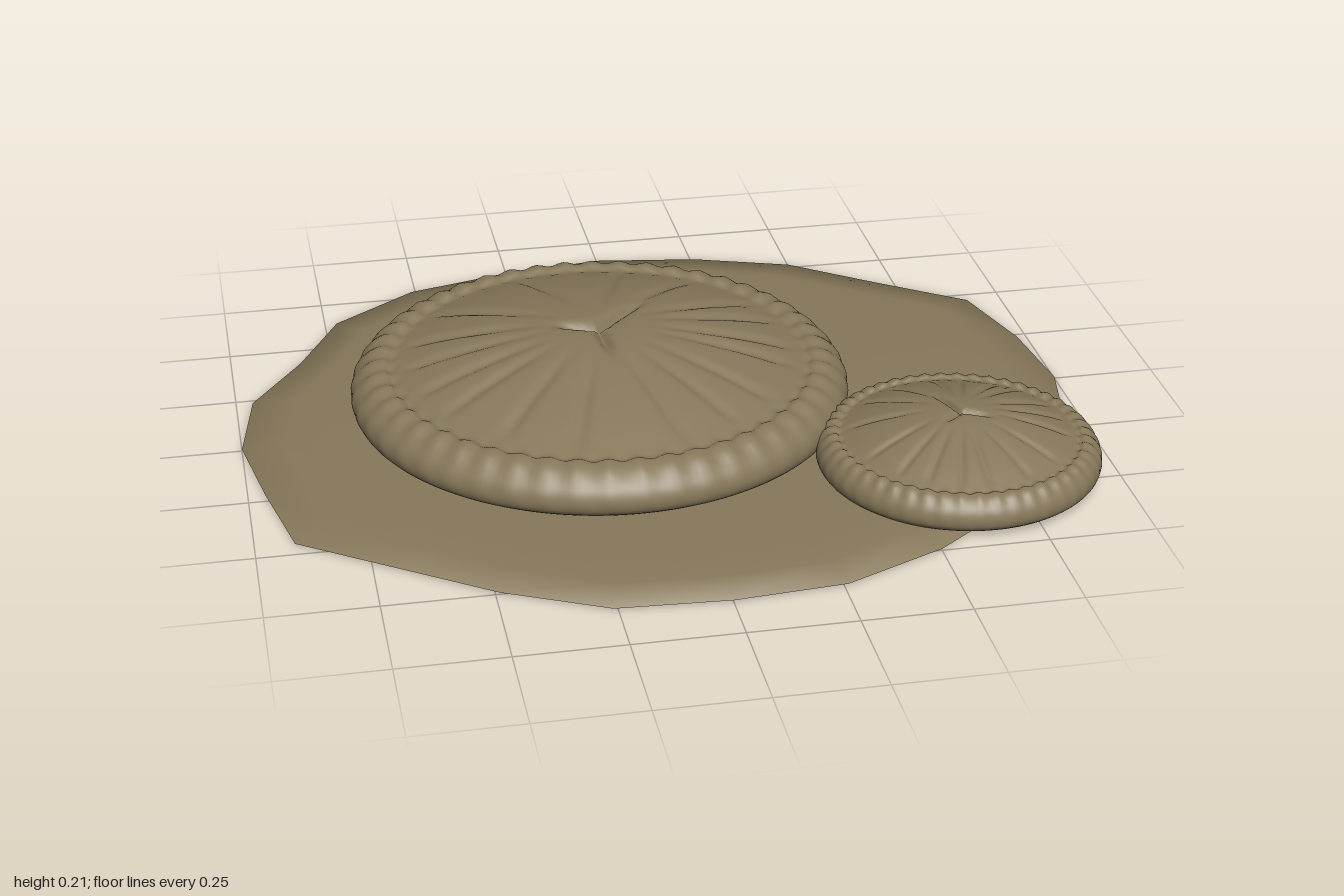
import * as THREE from 'three';
import { mergeVertices } from 'three/addons/utils/BufferGeometryUtils.js';

const DEG = Math.PI / 180;
const earth = new THREE.MeshStandardMaterial({ color: 0x87785a });
earth.name = 'earthBrown';

// Weld the seams and smooth the normals
function smooth(geometry) {
  geometry.deleteAttribute('uv');
  geometry.deleteAttribute('normal');
  const g = mergeVertices(geometry, 1e-5);
  g.computeVertexNormals();
  return g;
}

// Irregular 24-sided plate: outline [x, z], swept through scaled rings
function plateGeometry() {
  const outline = [
    [0, -0.88], [0.26, -0.84], [0.5, -0.76], [0.7, -0.61], [0.91, -0.46], [0.975, -0.23],
    [1, 0], [0.95, 0.25], [0.87, 0.42], [0.69, 0.61], [0.5, 0.75], [0.26, 0.855],
    [0, 0.875], [-0.26, 0.86], [-0.49, 0.75], [-0.7, 0.605], [-0.91, 0.46], [-0.96, 0.23],
    [-1, 0], [-0.96, -0.23], [-0.83, -0.42], [-0.72, -0.63], [-0.51, -0.78], [-0.26, -0.845],
  ];
  // [scale, height] from the underside, round the rim, to the top
  const rings = [[0, 0], [0.86, 0], [0.92, 0], [1, 0.004], [0.9, 0.013], [0.8, 0.019], [0, 0.024]];
  const n = outline.length, pos = [], index = [];
  for (const [s, y] of rings) for (const [x, z] of outline) pos.push(x * s, y, z * s);
  for (let r = 0; r < rings.length - 1; r++) {
    for (let i = 0; i < n; i++) {
      const a = r * n + i, b = r * n + (i + 1) % n, c = a + n, d = b + n;
      if (r > 0) index.push(a, b, c);
      if (r === 0) index.push(b, d, c);
      else if (r < rings.length - 2) index.push(b, d, c);
    }
  }
  const g = new THREE.BufferGeometry();
  g.setAttribute('position', new THREE.Float32BufferAttribute(pos, 3));
  // The outline runs clockwise from above, so flip each triangle
  for (let i = 0; i < index.length; i += 3) [index[i + 1], index[i + 2]] = [index[i + 2], index[i + 1]];
  g.setIndex(index);
  const signed = volume(g);
  if (signed < 0) for (let i = 0; i < index.length; i += 3) [index[i + 1], index[i + 2]] = [index[i + 2], index[i + 1]];
  g.setIndex(index);
  return smooth(g);
}

// Signed volume, positive when the faces point outwards
function volume(g) {
  const p = g.attributes.position, ix = g.index.array;
  const [a, b, c] = [0, 1, 2].map(() => new THREE.Vector3());
  let v = 0;
  for (let i = 0; i < ix.length; i += 3) {
    a.fromBufferAttribute(p, ix[i]);
    b.fromBufferAttribute(p, ix[i + 1]);
    c.fromBufferAttribute(p, ix[i + 2]);
    v += a.dot(b.cross(c));
  }
  return v;
}

// Domed round with a crimped rim, radial grooves and three deep creases
function moundGeometry() {
  const side = new THREE.SplineCurve([
    [0.57, 0.02], [0.594, 0.038], [0.6, 0.065], [0.588, 0.095], [0.555, 0.124], [0.522, 0.133],
    [0.5, 0.126], [0.47, 0.134], [0.4, 0.157], [0.3, 0.182], [0.2, 0.2], [0.1, 0.211], [0, 0.215],
  ].map(([r, y]) => new THREE.Vector2(r, y))).getPoints(48);
  side.forEach((p) => { p.x = Math.max(p.x, 0); });
  const g = new THREE.LatheGeometry([new THREE.Vector2(0, 0.02), ...side], 240);

  const grooves = [75, 52, 27, 13, -5, -17, -40, -57, -75, -106, -128, -150, -165, 178, 162, 140, 105];
  const creases = [[48, 0.26], [160, 0.13], [-87, 0.16]];
  const p = g.attributes.position;
  // Distance across a ray at the given angle, or infinite behind it
  const across = (a, r, deg) => {
    const d = a - deg * DEG;
    return Math.cos(d) > 0 ? Math.abs(r * Math.sin(d)) : Infinity;
  };
  const step = THREE.MathUtils.smoothstep;
  for (let i = 0; i < p.count; i++) {
    let x = p.getX(i), y = p.getY(i), z = p.getZ(i);
    const r = Math.hypot(x, z), a = Math.atan2(-z, x);
    if (y > 0.1) {
      const fade = step(r, 0.1, 0.3) * (1 - step(r, 0.42, 0.49));
      let dip = 0;
      for (const deg of grooves) dip = Math.max(dip, 0.009 * fade * Math.exp(-((across(a, r, deg) / 0.016) ** 2)));
      for (const [deg, len] of creases) {
        const depth = 0.022 * (1 - step(r, len * 0.3, len));
        dip = Math.max(dip, depth * Math.exp(-((across(a, r, deg) / 0.014) ** 2)));
      }
      y -= dip;
      // Crimps along the top of the rim
      y += 0.004 * Math.cos(48 * a) * step(r, 0.48, 0.51) * (1 - step(r, 0.55, 0.59));
    }
    // Shallow scallops round the side
    const k = 1 + 0.003 * Math.cos(48 * a) * step(r, 0.52, 0.57) * step(y, 0.03, 0.08);
    p.setXYZ(i, x * k, y, z * k);
  }
  return smooth(g);
}

export function createModel() {
  const group = new THREE.Group();
  group.name = 'moundsOnPlate';

  const plate = new THREE.Mesh(plateGeometry(), earth);
  plate.name = 'basePlate';

  const geometry = moundGeometry();
  const large = new THREE.Mesh(geometry, earth);
  large.name = 'largeMound';
  large.position.set(-0.13, 0, -0.07);

  const small = new THREE.Mesh(geometry, earth);
  small.name = 'smallMound';
  small.position.set(0.637, 0, 0.395);
  small.scale.set(0.553, 0.72, 0.553);
  small.rotation.y = 60 * DEG;

  group.add(plate, large, small);
  return group;
}
